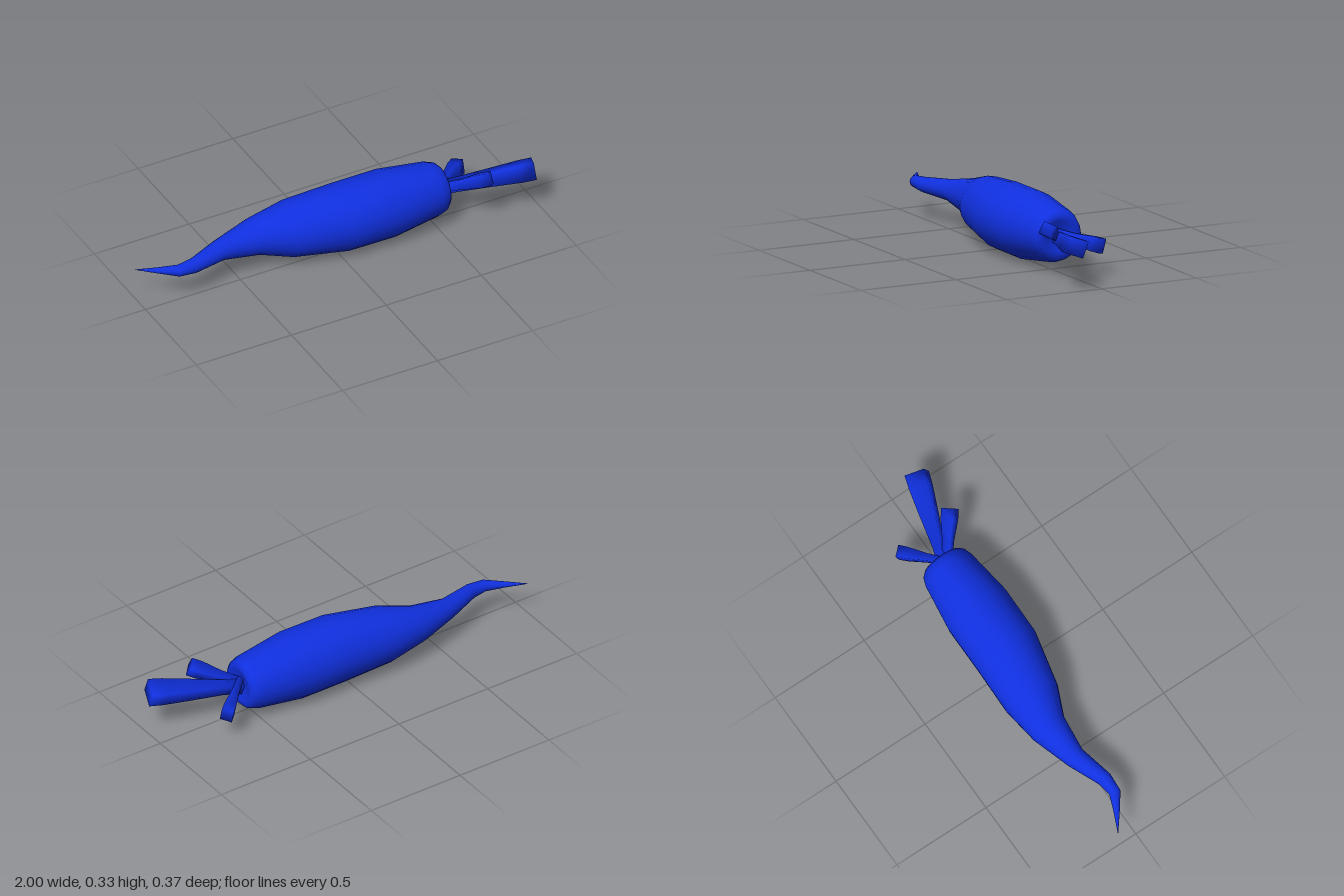
import * as THREE from 'three';

const MID_Y = 0.165;

// Skin closed cross-sections into one smooth, capped surface.
// ring: { c: centre, u, v: half-axis vectors with u x v pointing along the path }
function loft(rings, sides, phase = 0) {
  const pos = [], idx = [];
  for (const { c, u, v } of rings) {
    for (let j = 0; j < sides; j++) {
      const a = phase + (j / sides) * Math.PI * 2;
      const p = c.clone().addScaledVector(u, Math.cos(a)).addScaledVector(v, Math.sin(a));
      pos.push(p.x, p.y, p.z);
    }
  }
  for (let i = 0; i < rings.length - 1; i++) {
    for (let j = 0; j < sides; j++) {
      const k = (j + 1) % sides;
      const a = i * sides + j, b = i * sides + k;
      idx.push(a, b, a + sides, b, b + sides, a + sides);
    }
  }
  // end caps
  const last = (rings.length - 1) * sides;
  for (let j = 1; j < sides - 1; j++) {
    idx.push(0, j + 1, j, last, last + j, last + j + 1);
  }
  const g = new THREE.BufferGeometry();
  g.setAttribute('position', new THREE.Float32BufferAttribute(pos, 3));
  g.setIndex(idx);
  g.computeVertexNormals();
  return g;
}

// Root: rows of x, z, radius, and the sideways slope dz/dx of the path
function rootGeometry() {
  const rows = [
    [-1.0, -0.1, 0.001, 0.5],
    [-0.905, -0.043, 0.015, 0.6],
    [-0.825, 0.002, 0.028, 0.25],
    [-0.745, 0.0, 0.036, -0.12],
    [-0.58, -0.052, 0.051, -0.25],
    [-0.39, -0.072, 0.09, -0.05],
    [-0.22, -0.052, 0.136, 0.14],
    [0.035, -0.018, 0.163, 0.03],
    [0.275, -0.016, 0.164, 0],
    [0.51, -0.015, 0.132, 0],
    [0.55, -0.014, 0.118, 0],
    [0.567, -0.014, 0.1, 0],
    // shallow dish around the stems
    [0.562, -0.014, 0.075, 0],
    [0.55, -0.014, 0.035, 0],
    [0.547, -0.014, 0.002, 0],
  ];
  const up = new THREE.Vector3(0, 1, 0);
  return loft(rows.map(([x, z, r, slope]) => {
    const dir = new THREE.Vector3(1, 0, slope).normalize();
    return {
      c: new THREE.Vector3(x, MID_Y, z),
      u: up.clone().multiplyScalar(r),
      v: dir.cross(up).multiplyScalar(r),
    };
  }), 20);
}

// Stem: four-sided bar flaring toward its tip; rows of t, height, width
function stemGeometry(start, end, rows) {
  const a = new THREE.Vector3(...start), b = new THREE.Vector3(...end);
  const dir = b.clone().sub(a).normalize();
  const n1 = new THREE.Vector3(1, 0, 0).cross(dir).normalize();
  const n2 = dir.clone().cross(n1);
  return loft(rows.map(([t, h, w]) => ({
    c: a.clone().lerp(b, t),
    u: n1.clone().multiplyScalar(h * Math.SQRT1_2),
    v: n2.clone().multiplyScalar(w * Math.SQRT1_2),
  })), 4, Math.PI / 4);
}

export function createModel() {
  const group = new THREE.Group();
  group.name = 'rootVegetable';
  const material = new THREE.MeshStandardMaterial({ color: 0x1030e0 });
  const add = (name, geometry) => {
    const mesh = new THREE.Mesh(geometry, material);
    mesh.name = name;
    group.add(mesh);
  };

  add('root', rootGeometry());
  add('longStem', stemGeometry([0.55, 0.155, -0.015], [0.98, 0.208, 0.125],
    [[0, 0.06, 0.045], [0.2, 0.06, 0.045], [0.55, 0.07, 0.075], [0.85, 0.082, 0.095], [1, 0.082, 0.098]]));
  add('backStem', stemGeometry([0.55, 0.178, 0.0], [0.728, 0.137, -0.15],
    [[0, 0.05, 0.03], [0.4, 0.05, 0.036], [0.8, 0.07, 0.056], [1, 0.07, 0.058]]));
  add('frontStem', stemGeometry([0.55, 0.165, 0.0], [0.738, 0.247, 0.146],
    [[0, 0.045, 0.035], [0.4, 0.045, 0.04], [0.8, 0.062, 0.062], [1, 0.062, 0.062]]));
  return group;
}
